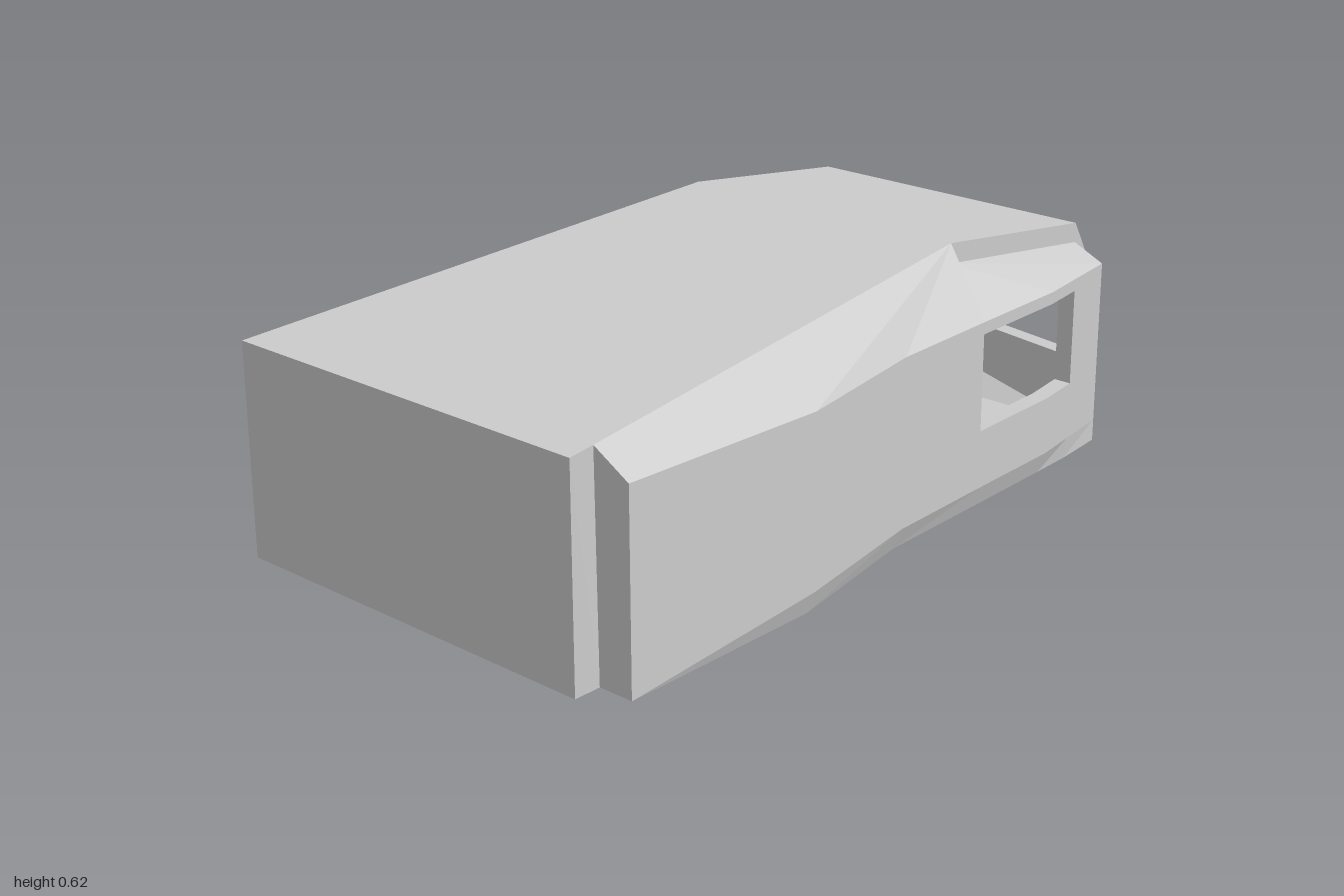
import * as THREE from 'three';

const material = new THREE.MeshStandardMaterial({ color: 0xcccccc, flatShading: true, side: THREE.DoubleSide });
const SILL = 0.2, HEAD = 0.44, EAVE = 0.47, BEVEL = 0.055, DEPTH = 0.045;

// Side plan stations: z, wall x, floor x
const SIDE = [
  [0.93, 0.6, 0.6], [0.39, 0.62, 0.6], [0, 0.553, 0.53], [-0.31, 0.54, 0.52],
  [-0.6, 0.53, 0.51], [-0.72, 0.512, 0.505], [-0.87, 0.49, 0.49],
];
const BACK = [-0.4, -0.355, 0, 0.355, 0.4];
const backZ = (x) => -1 + 0.07 * Math.abs(x) / 0.4;

// Flat convex faces, each turned to point away from the middle of the body
function shell(name, faces) {
  const pos = [];
  const v = (p) => new THREE.Vector3(...p);
  for (const face of faces) {
    for (let i = 1; i < face.length - 1; i++) {
      const [a, b, c] = [v(face[0]), v(face[i]), v(face[i + 1])];
      const n = b.clone().sub(a).cross(c.clone().sub(a));
      const mid = a.clone().add(b).add(c).divideScalar(3);
      mid.sub(new THREE.Vector3(0, 0.25, THREE.MathUtils.clamp(mid.z, -0.6, 0.7)));
      for (const p of n.dot(mid) < 0 ? [a, c, b] : [a, b, c]) pos.push(p.x, p.y, p.z);
    }
  }
  const geometry = new THREE.BufferGeometry();
  geometry.setAttribute('position', new THREE.Float32BufferAttribute(pos, 3));
  geometry.computeVertexNormals();
  const mesh = new THREE.Mesh(geometry, material);
  mesh.name = name;
  return mesh;
}

// Wall panels along plan points [x, z]; segments from..to are left open as a window
function windowWall(points, from, to) {
  const faces = [];
  const band = (a, b, y0, y1) => faces.push([[a[0], y0, a[1]], [b[0], y0, b[1]], [b[0], y1, b[1]], [a[0], y1, a[1]]]);
  for (let i = 0; i < points.length - 1; i++) {
    const a = points[i], b = points[i + 1];
    if (i >= from && i < to) {
      band(a, b, BEVEL, SILL);
      band(a, b, HEAD, EAVE);
    } else band(a, b, BEVEL, EAVE);
  }
  return faces;
}

// Window reveal: the opening carried inward by a plan offset
function reveal(points, dx, dz) {
  const faces = [];
  const strip = (a, b) => {
    const inward = (p) => [p[0] + dx, p[1], p[2] + dz];
    faces.push([a, b, inward(b), inward(a)]);
  };
  for (let i = 0; i < points.length - 1; i++) {
    for (const y of [SILL, HEAD]) strip([points[i][0], y, points[i][1]], [points[i + 1][0], y, points[i + 1][1]]);
  }
  for (const [x, z] of [points[0], points[points.length - 1]]) strip([x, SILL, z], [x, HEAD, z]);
  return faces;
}

function createSide(s, label) {
  const group = new THREE.Group();
  group.name = label + 'Side';
  const plan = SIDE.map(([z, x]) => [s * x, z]);
  const eave = SIDE.map(([z, x]) => [s * x, EAVE, z]);
  const last = eave.length - 1;
  group.add(shell(label + 'Wall', windowWall(plan, 3, 5)));
  group.add(shell(label + 'WindowReveal', reveal(plan.slice(3, 6), -s * DEPTH, 0)));

  // Bevelled foot of the wall
  const foot = [];
  for (let i = 0; i < last; i++) {
    const [z0, x0, f0] = SIDE[i], [z1, x1, f1] = SIDE[i + 1];
    foot.push([[s * f0, 0, z0], [s * f1, 0, z1], [s * x1, BEVEL, z1], [s * x0, BEVEL, z0]]);
  }
  group.add(shell(label + 'Foot', foot));

  // Sloping roof flank; the left one steps down above the window
  const front = [s * 0.505, 0.525, 0.93];
  const ridge = [s * 0.4, 0.62, -0.36], rear = [s * 0.4, 0.555, -0.88];
  const drop = s > 0 ? 0.05 : 0;
  const lowRidge = [ridge[0], ridge[1] - drop, ridge[2]];
  const lowRear = [rear[0], rear[1] - drop, rear[2]];
  const flank = [[front, ridge, eave[0]]];
  for (let i = 0; i < last; i++) flank.push([i < 3 ? ridge : lowRidge, eave[i], eave[i + 1]]);
  flank.push([lowRidge, eave[last], lowRear]);
  if (drop) flank.push([ridge, rear, lowRear, lowRidge], [ridge, lowRidge, eave[3]]);
  group.add(shell(label + 'RoofFlank', flank));

  // Notched corners
  group.add(shell(label + 'FrontCorner', [
    [[s * 0.51, 0, 0.93], [s * 0.6, 0, 0.93], eave[0], front],
    [[s * 0.51, 0, 0.93], [s * 0.51, 0, 1], [s * 0.51, 0.52, 1], front],
  ]));
  group.add(shell(label + 'BackCorner', [
    [[s * 0.49, 0, -0.87], [s * 0.4, 0, -0.88], lowRear, eave[last]],
    [[s * 0.4, 0, -0.88], [s * 0.4, 0, -0.93], [s * 0.4, EAVE, -0.93], rear],
  ]));
  return group;
}

export function createModel() {
  const model = new THREE.Group();
  model.name = 'wedgeCabin';
  model.add(createSide(1, 'left'), createSide(-1, 'right'));

  model.add(shell('frontWall', [[[-0.51, 0, 1], [0.51, 0, 1], [0.51, 0.52, 1], [-0.51, 0.52, 1]]]));

  // Roof in two pitches
  const roofLine = [[0.51, 0.52, 1], [0.505, 0.525, 0.93], [0.4, 0.62, -0.36], [0.4, 0.555, -0.88]];
  const roof = [];
  for (let i = 0; i < 3; i++) {
    const [a, b] = [roofLine[i], roofLine[i + 1]];
    roof.push([a, b, [-b[0], b[1], b[2]], [-a[0], a[1], a[2]]]);
  }
  model.add(shell('roof', roof));

  // Pointed back wall with its wide window, foot and upper slope
  const plan = BACK.map((x) => [x, backZ(x)]);
  model.add(shell('backWall', windowWall(plan, 1, 3)));
  model.add(shell('backWindowReveal', reveal(plan.slice(1, 4), 0, DEPTH)));
  const foot = [], slope = [];
  for (const s of [-1, 1]) {
    foot.push([[s * 0.4, 0, -0.93], [0, 0, -0.93], [0, BEVEL, -1], [s * 0.4, BEVEL, -0.93]]);
    slope.push([[s * 0.4, 0.555, -0.88], [s * 0.4, EAVE, -0.93], [0, EAVE, -1]]);
  }
  slope.push([[-0.4, 0.555, -0.88], [0.4, 0.555, -0.88], [0, EAVE, -1]]);
  model.add(shell('backFoot', foot), shell('backSlope', slope));

  // Floor plate
  const half = [[0.51, 1], [0.51, 0.93], ...SIDE.map(([z, , x]) => [x, z]), [0.4, -0.88], [0.4, -0.93]];
  const outline = [...half, ...half.map(([x, z]) => [-x, z]).reverse()];
  const floorGeometry = new THREE.ShapeGeometry(new THREE.Shape(outline.map(([x, z]) => new THREE.Vector2(x, z))));
  floorGeometry.rotateX(Math.PI / 2);
  const floor = new THREE.Mesh(floorGeometry, material);
  floor.name = 'floor';
  model.add(floor);
  return model;
}
